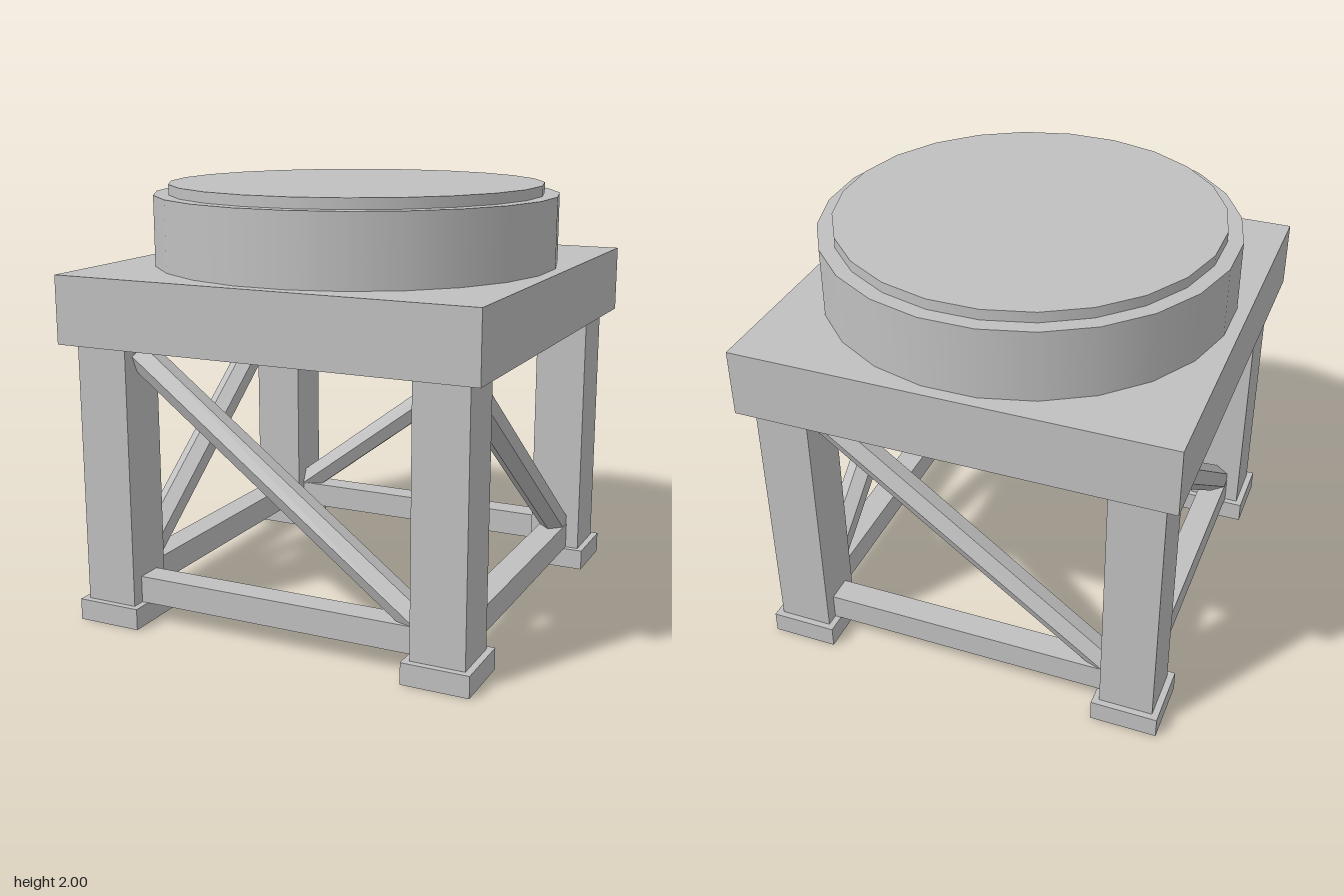
import * as THREE from 'three';

export function createModel() {
  const model = new THREE.Group();
  model.name = 'roundTopStand';

  const grey = new THREE.MeshStandardMaterial({ color: 0xc0c0c0 });
  grey.name = 'grey';

  const add = (name, geometry, x, y, z) => {
    const mesh = new THREE.Mesh(geometry, grey);
    mesh.name = name;
    mesh.position.set(x, y, z);
    model.add(mesh);
    return mesh;
  };
  const box = (name, w, y0, y1, d, x = 0, z = 0) =>
    add(name, new THREE.BoxGeometry(w, y1 - y0, d), x, (y0 + y1) / 2, z);
  const drum = (name, radius, y0, y1) =>
    add(name, new THREE.CylinderGeometry(radius, radius, y1 - y0, 24).rotateY(Math.PI / 24), 0, (y0 + y1) / 2, 0);

  // Round top on a square deck
  box('deck', 2, 1.315, 1.628, 2);
  drum('drum', 0.948, 1.628, 1.952);
  drum('drumCap', 0.878, 1.952, 2);

  // Legs and feet
  const c = 0.8125;
  for (const sx of [-1, 1]) {
    for (const sz of [-1, 1]) {
      box('leg', 0.25, 0.1, 1.315, 0.25, sx * c, sz * c);
      box('foot', 0.31, 0, 0.1, 0.31, sx * c, sz * c);
    }
  }

  // Low rails and one hexagonal diagonal brace on each side
  const span = 1.375, rise = 1.04;
  const tilt = Math.atan2(span, rise);
  // Flat normals are baked in so the six facets stay crisp
  const braceGeometry = new THREE.CylinderGeometry(0.07, 0.07, Math.hypot(span, rise), 6).toNonIndexed();
  braceGeometry.computeVertexNormals();
  for (const s of [-1, 1]) {
    box('frontBackRail', span, 0.1, 0.225, 0.125, 0, s * c);
    box('sideRail', 0.125, 0.1, 0.225, span, s * c, 0);
    add('frontBackBrace', braceGeometry, 0, 0.745, s * c).rotation.z = s * tilt;
    add('sideBrace', braceGeometry, s * c, 0.745, 0).rotation.x = s * tilt;
  }

  return model;
}
